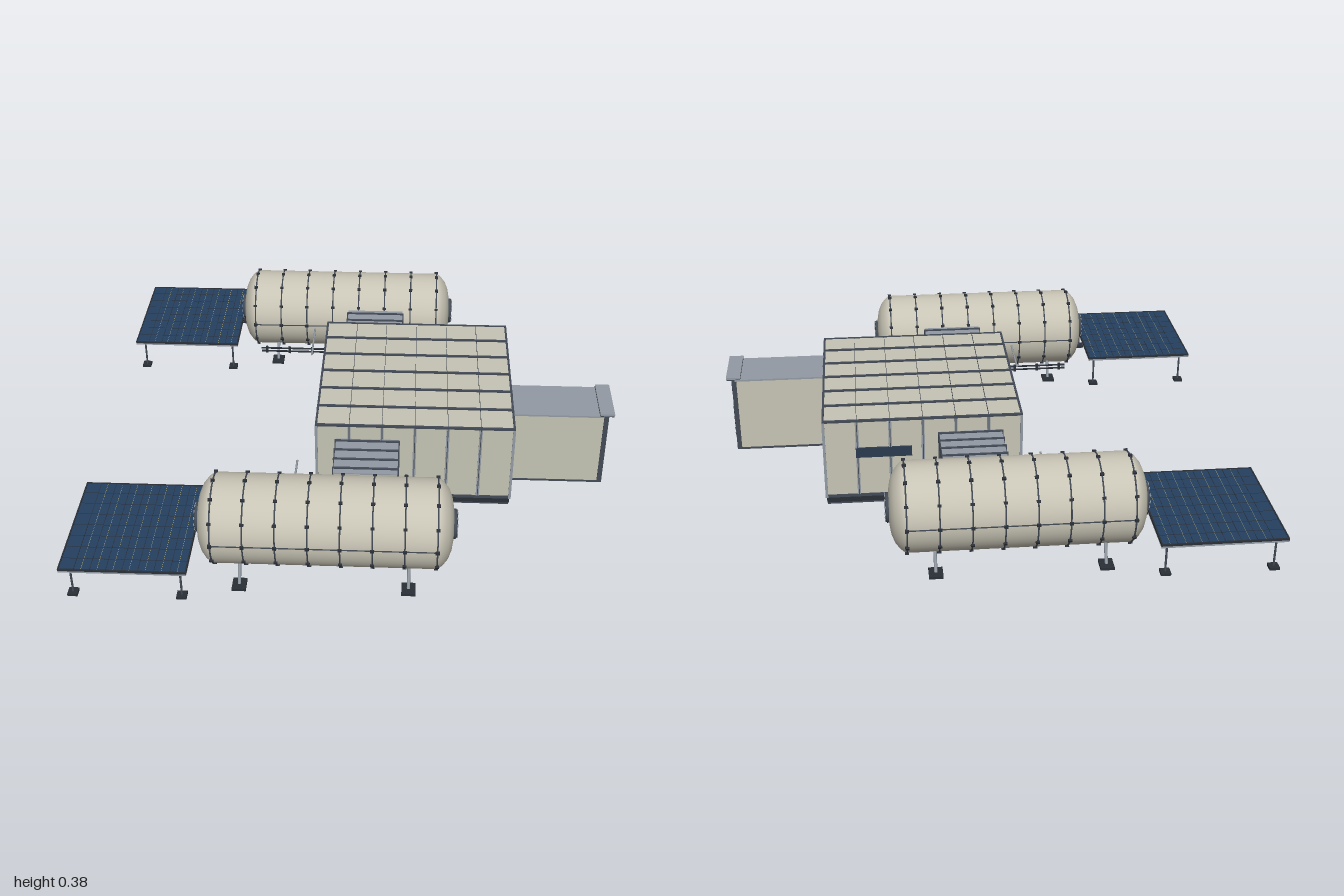
import * as THREE from 'three';

const mat = (name, color) => {
  const m = new THREE.MeshStandardMaterial({ color });
  m.name = name;
  return m;
};

export function createModel() {
  const root = new THREE.Group();
  root.name = 'habitat';
  const shell = mat('tank shell', 0xc8c4b5), panel = mat('wall panel', 0xc5c4b4);
  const steel = mat('blue grey steel', 0x929aa3), slate = mat('slate trim', 0x434b56);
  const dark = mat('dark metal', 0x2a2f37), cell = mat('solar blue', 0x244060);
  const gold = mat('busbar', 0xc8b878), glass = mat('window glass', 0x2b3a4e);

  const add = (parent, name, geo, material, x = 0, y = 0, z = 0) => {
    const m = new THREE.Mesh(geo, material);
    m.name = name;
    m.position.set(x, y, z);
    parent.add(m);
    return m;
  };
  // Box given by its minimum and maximum on each axis
  const box = (parent, name, material, x0, x1, y0, y1, z0, z1) =>
    add(parent, name, new THREE.BoxGeometry(x1 - x0, y1 - y0, z1 - z0), material,
      (x0 + x1) / 2, (y0 + y1) / 2, (z0 + z1) / 2);
  // Round bar between two points
  const bar = (parent, name, material, a, b, r) => {
    const p = new THREE.Vector3(...a), q = new THREE.Vector3(...b);
    const m = add(parent, name, new THREE.CylinderGeometry(r, r, p.distanceTo(q), 8), material);
    m.position.copy(p).add(q).multiplyScalar(0.5);
    m.quaternion.setFromUnitVectors(new THREE.Vector3(0, 1, 0), q.sub(p).normalize());
    return m;
  };
  const group = (name) => {
    const g = new THREE.Group();
    g.name = name;
    root.add(g);
    return g;
  };

  // Central module: foundation, walls, roof
  const hub = group('centralModule');
  box(hub, 'foundation', slate, -0.135, 0.6, 0, 0.024, -0.37, 0.37);
  box(hub, 'foundationBand', dark, -0.137, 0.602, 0.008, 0.03, -0.372, 0.372);
  box(hub, 'sill', slate, -0.14, 0.605, 0.03, 0.042, -0.375, 0.375);
  box(hub, 'walls', panel, -0.137, 0.602, 0.035, 0.354, -0.372, 0.372);
  for (const x of [-0.137, 0.602]) {
    for (const z of [-0.372, 0.372])
      box(hub, 'cornerPost', steel, x - 0.005, x + 0.005, 0.03, 0.35, z - 0.005, z + 0.005);
    box(hub, 'eave', slate, x - 0.004, x + 0.004, 0.348, 0.357, -0.376, 0.376);
  }
  for (const z of [-0.372, 0.372])
    box(hub, 'eave', slate, -0.141, 0.606, 0.348, 0.357, z - 0.004, z + 0.004);
  for (let i = -2; i <= 2; i++) {
    const z = i * 0.125, x = 0.2325 + i * 0.123;
    box(hub, 'roofRib', slate, -0.138, 0.603, 0.352, 0.361, z - 0.004, z + 0.004);
    box(hub, 'roofFin', slate, x - 0.0008, x + 0.0008, 0.352, 0.36, -0.37, 0.37);
    for (const s of [-1, 1]) {
      const wx = s < 0 ? -0.137 : 0.602;
      box(hub, 'wallBatten', steel, wx - 0.005, wx + 0.005, 0.042, 0.348, z - 0.006, z + 0.006);
      box(hub, 'battenSeam', slate, wx - 0.006, wx + 0.006, 0.042, 0.348, z - 0.0015, z + 0.0015);
      box(hub, 'wallBatten', steel, x - 0.006, x + 0.006, 0.042, 0.348, s * 0.372 - 0.005, s * 0.372 + 0.005);
      box(hub, 'battenSeam', slate, x - 0.0015, x + 0.0015, 0.042, 0.348, s * 0.372 - 0.006, s * 0.372 + 0.006);
    }
  }
  box(hub, 'rearWindow', glass, 0.275, 0.485, 0.2, 0.24, -0.379, -0.371);

  // Entry airlock with door and canopy
  const lock = group('airlock');
  box(lock, 'airlockWalls', panel, 0.59, 0.955, 0.03, 0.332, 0.048, 0.247);
  box(lock, 'airlockRoof', steel, 0.6, 0.955, 0.33, 0.337, 0.046, 0.249);
  box(lock, 'airlockFloor', slate, 0.6, 0.955, 0.026, 0.034, 0.046, 0.249);
  box(lock, 'canopy', steel, 0.932, 0.987, 0.34, 0.348, 0.044, 0.251);
  box(lock, 'canopyEdge', slate, 0.932, 0.985, 0.335, 0.341, 0.046, 0.249);
  box(lock, 'doorSurround', steel, 0.95, 0.96, 0.03, 0.335, 0.05, 0.245);
  for (const [z0, z1] of [[0.046, 0.066], [0.238, 0.25]])
    box(lock, 'doorPost', slate, 0.948, 0.966, 0.028, 0.336, z0, z1);
  box(lock, 'threshold', slate, 0.948, 0.966, 0.028, 0.042, 0.046, 0.249);
  box(lock, 'transomWindow', glass, 0.955, 0.97, 0.272, 0.314, 0.075, 0.228);
  box(lock, 'doorFrame', slate, 0.955, 0.964, 0.042, 0.264, 0.075, 0.228);
  box(lock, 'door', steel, 0.956, 0.967, 0.046, 0.258, 0.081, 0.222);
  box(lock, 'doorInsetEdge', slate, 0.96, 0.969, 0.052, 0.22, 0.082, 0.188);
  box(lock, 'doorInset', steel, 0.961, 0.971, 0.057, 0.215, 0.087, 0.183);
  for (let i = 0; i < 6; i++)
    box(lock, 'doorSlat', dark, 0.964, 0.974, 0.068 + i * 0.024, 0.078 + i * 0.024, 0.095, 0.175);

  // Each side of the base is built for one sign of z
  const half = 0.395, tankX = -0.077, tankY = 0.207, R = 0.162;
  const cap = [[0, 0.455], [0.06, 0.452], [0.095, 0.446], [0.125, 0.434], [0.147, 0.417], [0.159, 0.402]];
  const profile = [...cap.map(([r, h]) => [r, -h]), [R, -half + 0.01], [R, half - 0.01], ...cap.slice().reverse()]
    .map(([r, h]) => new THREE.Vector2(r, h));
  for (const s of [-1, 1]) {
    const tank = group(s > 0 ? 'frontTank' : 'rearTank');
    tank.position.set(tankX, tankY, s * 0.753);
    add(tank, 'tankShell', new THREE.LatheGeometry(profile, 48).rotateZ(-Math.PI / 2), shell);
    for (let i = 0; i < 8; i++) {
      const x = -half + i * half * 2 / 7;
      add(tank, 'hoop', new THREE.TorusGeometry(R, 0.003, 6, 48).rotateY(Math.PI / 2), slate, x);
      for (let k = 0; k < 12; k++) {
        const a = k * Math.PI / 6;
        const b = add(tank, 'hoopClamp', new THREE.BoxGeometry(0.014, 0.012, 0.01), dark,
          x, Math.cos(a) * 0.163, Math.sin(a) * 0.163);
        b.rotation.x = a;
      }
    }
    for (const side of [-1, 1]) {
      box(tank, 'sideSeam', slate, -half, half, -0.002, 0.002, side * R - 0.002, side * R + 0.002);
      // End port
      add(tank, 'portCollar', new THREE.CylinderGeometry(0.054, 0.054, 0.02, 32).rotateZ(Math.PI / 2), slate, side * 0.45);
      add(tank, 'portRing', new THREE.TorusGeometry(0.046, 0.007, 8, 32).rotateY(Math.PI / 2), slate, side * 0.458);
      add(tank, 'portRim', new THREE.CylinderGeometry(0.039, 0.039, 0.022, 32).rotateZ(Math.PI / 2), steel, side * 0.451);
      add(tank, 'portGlass', new THREE.CylinderGeometry(0.027, 0.027, 0.024, 24).rotateZ(Math.PI / 2), glass, side * 0.452);
      for (let k = 0; k < 12; k++) {
        const a = k * Math.PI / 6;
        add(tank, 'portBolt', new THREE.BoxGeometry(0.006, 0.008, 0.008), steel,
          side * 0.464, Math.cos(a) * 0.046, Math.sin(a) * 0.046);
      }
      // Splayed legs
      for (const x of [-0.302, 0.298]) {
        bar(tank, 'tankLeg', steel, [x, -0.115, side * 0.1], [x, -0.19, side * 0.137], 0.006);
        add(tank, 'tankFoot', new THREE.BoxGeometry(0.05, 0.01, 0.06), dark, x, -0.193, side * 0.137);
      }
    }

    // Ribbed passage between tank and hub
    const pass = group(s > 0 ? 'frontPassage' : 'rearPassage');
    const zBox = (name, m, x0, x1, y0, y1, z0, z1) =>
      box(pass, name, m, x0, x1, y0, y1, Math.min(s * z0, s * z1), Math.max(s * z0, s * z1));
    zBox('passageWalls', panel, -0.06, 0.17, 0.074, 0.288, 0.365, 0.586);
    zBox('passageRoof', steel, -0.062, 0.172, 0.286, 0.292, 0.37, 0.586);
    zBox('passageFloor', steel, -0.062, 0.172, 0.068, 0.076, 0.37, 0.586);
    for (const z of [0.388, 0.445, 0.502, 0.558])
      zBox('passageRib', slate, -0.067, 0.177, 0.066, 0.297, z - 0.004, z + 0.004);

    // Service pipes beside the tank
    for (const y of [0.075, 0.09])
      bar(pass, 'servicePipe', dark, [-0.45, y, s * 0.588], [0.3, y, s * 0.588], 0.004);
    for (let i = 0; i < 8; i++)
      box(pass, 'pipeClamp', dark, -0.43 + i * 0.1, -0.42 + i * 0.1, 0.068, 0.097, s * 0.588 - 0.006, s * 0.588 + 0.006);
    bar(pass, 'crossPipe', steel, [-0.21, 0.19, s * 0.38], [-0.21, 0.19, s * 0.6], 0.004);

    // Solar table
    const sun = group(s > 0 ? 'frontSolarTable' : 'rearSolarTable');
    sun.position.set(-0.768, 0, s * 0.753);
    const hx = 0.223, hz = 0.246;
    box(sun, 'tableBacking', steel, -hx, hx, 0.142, 0.15, -hz, hz);
    box(sun, 'solarSheet', cell, -hx + 0.004, hx - 0.004, 0.149, 0.155, -hz + 0.004, hz - 0.004);
    for (const e of [-1, 1]) {
      box(sun, 'tableFrame', dark, e * (hx - 0.002) - 0.0025, e * (hx - 0.002) + 0.0025, 0.149, 0.157, -hz, hz);
      box(sun, 'tableFrame', dark, -hx, hx, 0.149, 0.157, e * (hz - 0.002) - 0.0025, e * (hz - 0.002) + 0.0025);
      for (const f of [-1, 1]) {
        const x = e * 0.193, z = f * 0.2;
        bar(sun, 'tableLeg', slate, [x, 0.012, z], [x, 0.145, z], 0.004);
        add(sun, 'tableFoot', new THREE.BoxGeometry(0.036, 0.01, 0.036), dark, x, 0.013, z);
      }
    }
    for (let i = 1; i < 8; i++) {
      const x = -hx + i * hx / 4, z = -hz + i * hz / 4;
      box(sun, 'cellLine', dark, x - 0.0008, x + 0.0008, 0.153, 0.156, -hz, hz);
      box(sun, 'cellLine', dark, -hx, hx, 0.153, 0.156, z - 0.0008, z + 0.0008);
      box(sun, 'busbar', gold, x + 0.025, x + 0.0258, 0.153, 0.1555, -hz + 0.006, hz - 0.006);
    }
  }
  return root;
}
